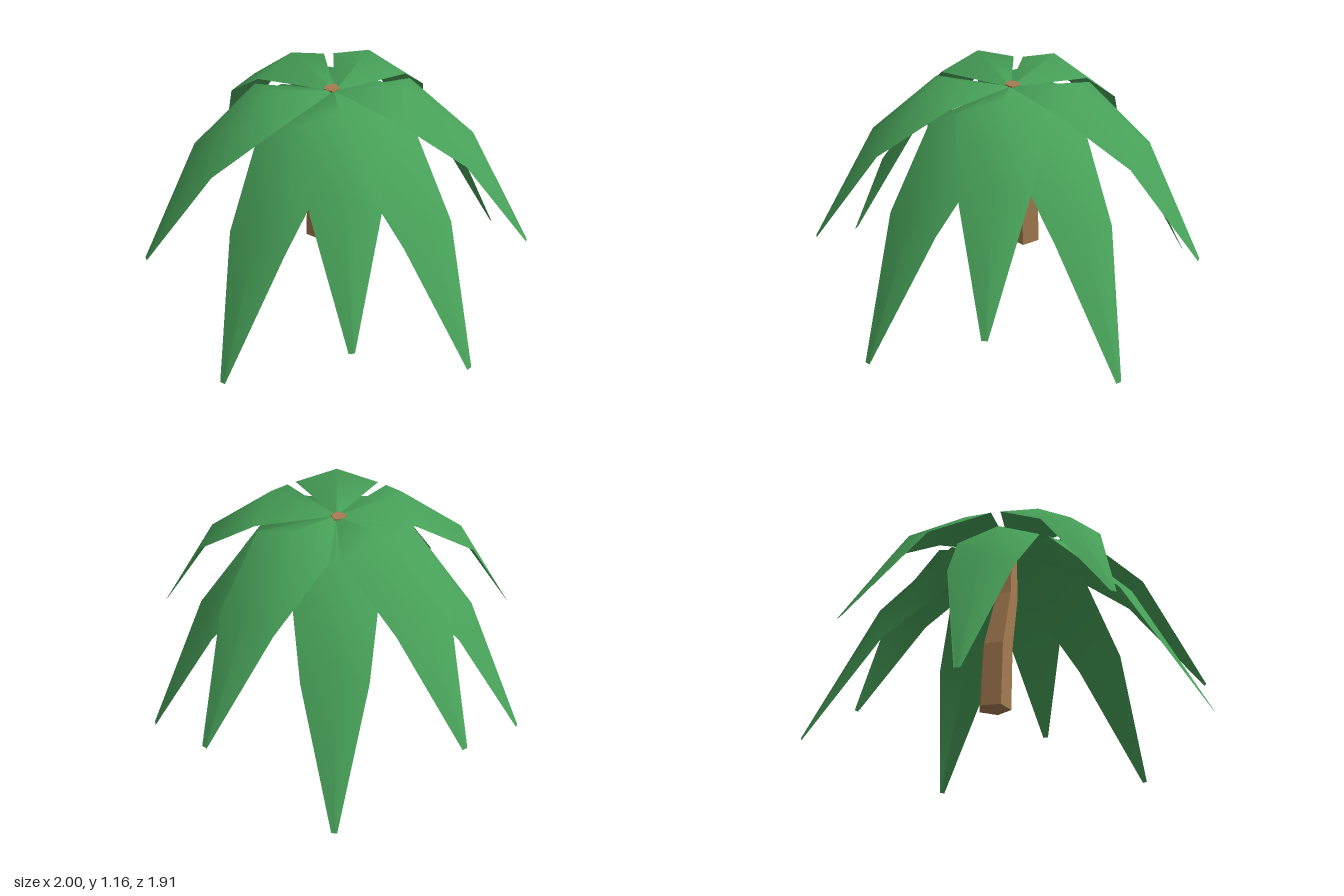
import * as THREE from 'three';

const leafMaterial = new THREE.MeshStandardMaterial({ color: 0x47a058, side: THREE.DoubleSide });
const trunkMaterial = new THREE.MeshStandardMaterial({ color: 0xa67c52, flatShading: true });

// Stations along a leaf: radius, half width, ridge height, edge height
const LEAF = [
  [0, 0.004, 1.09, 1.09],
  [0.33, 0.21, 1.165, 1.09],
  [0.667, 0.155, 0.91, 0.86],
  [1, 0.014, 0.36, 0.36],
];

// Folded leaf pointing along +x; droop lowers it in proportion to radius
function leafGeometry(droop) {
  const positions = [];
  const index = [];
  LEAF.forEach(([r, w, ridge, edge], i) => {
    const drop = droop * r;
    positions.push(r, edge - drop, -w, r, ridge - drop, 0, r, edge - drop, w);
    if (i === 0) return;
    for (let j = 0; j < 2; j++) {
      const a = (i - 1) * 3 + j;
      const b = a + 3;
      index.push(a, a + 1, b, a + 1, b + 1, b);
    }
  });
  const geometry = new THREE.BufferGeometry();
  geometry.setAttribute('position', new THREE.Float32BufferAttribute(positions, 3));
  geometry.setIndex(index);
  geometry.computeVertexNormals();
  return geometry;
}

// Ring of five leaves around the crown
function leafRing(name, droop, startAngle) {
  const ring = new THREE.Group();
  ring.name = name;
  const geometry = leafGeometry(droop);
  for (let i = 0; i < 5; i++) {
    const leaf = new THREE.Mesh(geometry, leafMaterial);
    leaf.name = 'leaf';
    leaf.rotation.y = startAngle + (i * Math.PI * 2) / 5;
    ring.add(leaf);
  }
  return ring;
}

// Five-sided trunk, each ring shifted and scaled to follow a bend
function trunkMesh() {
  // height, centre x, radius
  const rings = [
    [0.16, -0.116, 0.084],
    [0.49, -0.104, 0.081],
    [0.8, -0.042, 0.062],
    [1.1, -0.02, 0.04],
  ];
  const geometry = new THREE.CylinderGeometry(1, 1, 3, 5, 3, false, -Math.PI / 2);
  const p = geometry.attributes.position;
  for (let i = 0; i < p.count; i++) {
    const [y, x, r] = rings[Math.round(p.getY(i) + 1.5)];
    p.setXYZ(i, x + p.getX(i) * r, y, p.getZ(i) * r);
  }
  geometry.computeVertexNormals();
  const trunk = new THREE.Mesh(geometry, trunkMaterial);
  trunk.name = 'trunk';
  return trunk;
}

export function createModel() {
  const tree = new THREE.Group();
  tree.name = 'palmTree';
  tree.add(
    trunkMesh(),
    leafRing('upperLeaves', 0, Math.PI),
    leafRing('lowerLeaves', 0.36, 0),
  );
  return tree;
}
